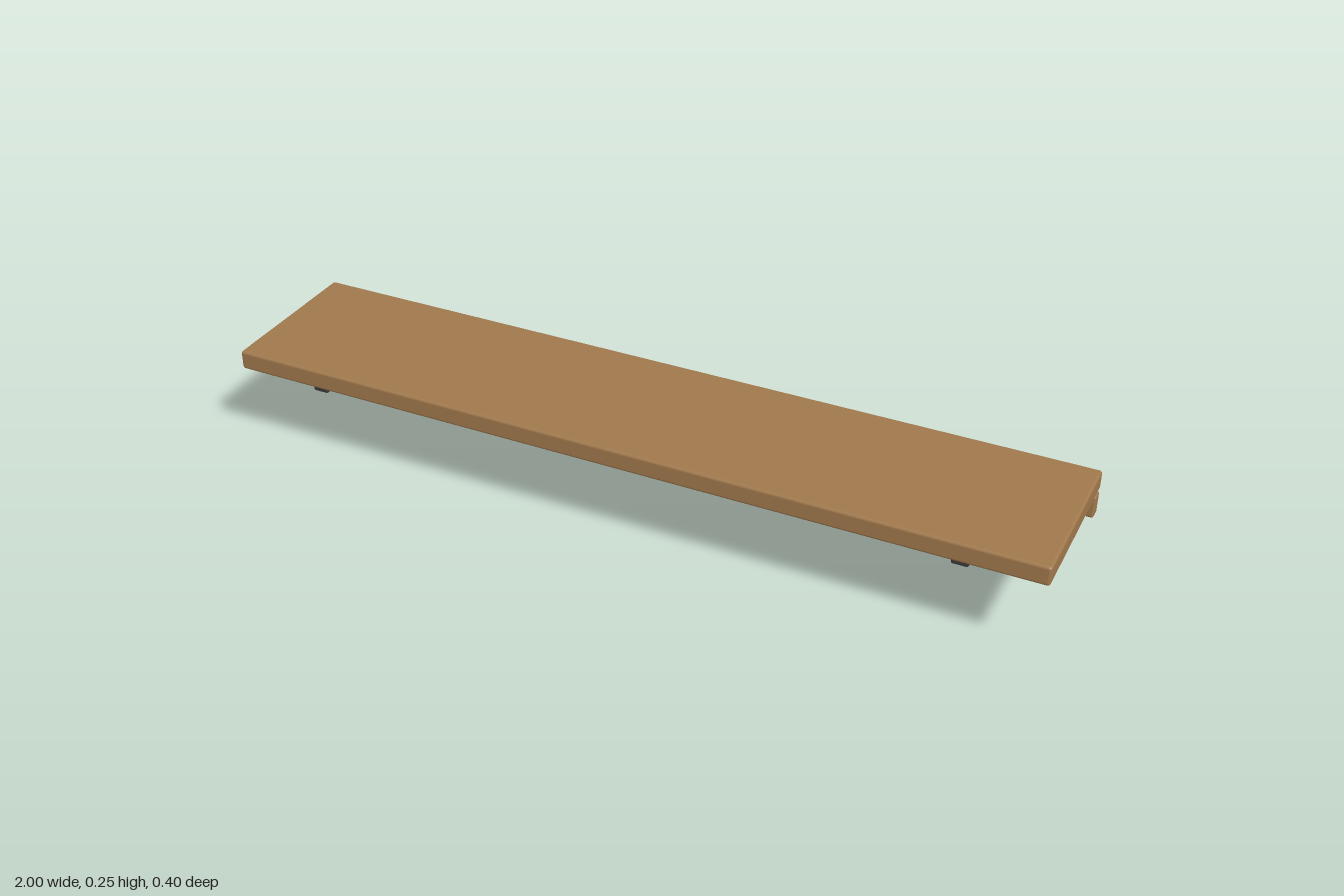
import * as THREE from 'three';
import { RoundedBoxGeometry } from 'three/addons/geometries/RoundedBoxGeometry.js';

const wood = new THREE.MeshStandardMaterial({ color: 0xa0784c });
wood.name = 'oak wood';
const iron = new THREE.MeshStandardMaterial({ color: 0x3a3a3a });
iron.name = 'black iron';

// Soft-edged bar given by its min and max corners
function bar(name, material, min, max, radius) {
  const size = max.map((v, i) => v - min[i]);
  const mesh = new THREE.Mesh(new RoundedBoxGeometry(...size, 2, radius), material);
  mesh.position.set(...max.map((v, i) => (v + min[i]) / 2));
  mesh.name = name;
  return mesh;
}

// Triangular bracket: upright, arm and diagonal brace
function bracket(name, x) {
  const group = new THREE.Group();
  group.name = name;
  group.position.x = x;
  group.add(bar('upright', iron, [-0.02, 0, -0.198], [0.02, 0.2, -0.168], 0.005));
  group.add(bar('arm', iron, [-0.02, 0.17, -0.166], [0.02, 0.2, 0.167], 0.005));

  const low = new THREE.Vector3(0, 0.019, -0.163);
  const high = new THREE.Vector3(0, 0.178, 0.106);
  const length = low.distanceTo(high);
  const brace = bar('brace', iron, [-0.0125, -0.0125, -length / 2], [0.0125, 0.0125, length / 2], 0.003);
  brace.position.copy(low).lerp(high, 0.5);
  brace.lookAt(high);
  group.add(brace);
  return group;
}

export function createModel() {
  const model = new THREE.Group();
  model.name = 'wallShelf';
  model.add(bar('shelfBoard', wood, [-1, 0.202, -0.2], [1, 0.25, 0.2], 0.007));
  model.add(bar('backRail', wood, [-1, 0.14, -0.199], [1, 0.197, -0.167], 0.006));
  model.add(bracket('leftBracket', 0.8), bracket('rightBracket', -0.8));
  return model;
}
